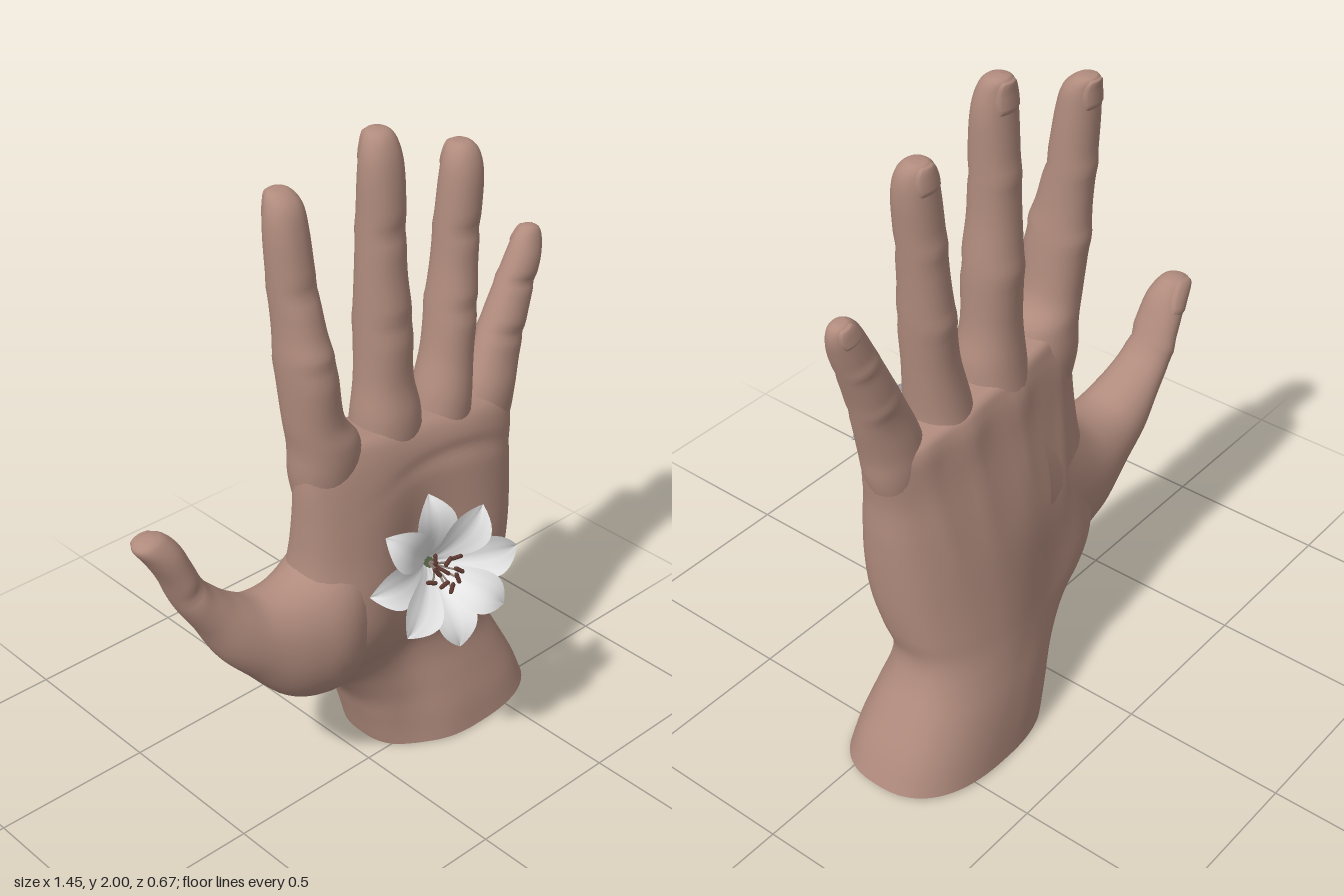
import * as THREE from 'three';

const mat = (name, color, side = THREE.FrontSide) => {
  const m = new THREE.MeshStandardMaterial({ color, side });
  m.name = name;
  return m;
};

// Grid surface from a function (u, v) -> Vector3; "wrap" closes it around v
function grid(nu, nv, fn, wrap = false) {
  const pos = [], idx = [], cols = wrap ? nv : nv + 1;
  for (let i = 0; i <= nu; i++)
    for (let j = 0; j < cols; j++) pos.push(...fn(i / nu, j / nv).toArray());
  for (let i = 0; i < nu; i++)
    for (let j = 0; j < nv; j++) {
      const a = i * cols + j, b = i * cols + ((j + 1) % cols), c = a + cols, d = b + cols;
      idx.push(a, c, b, b, c, d);
    }
  const g = new THREE.BufferGeometry();
  g.setAttribute('position', new THREE.Float32BufferAttribute(pos, 3));
  g.setIndex(idx);
  g.computeVertexNormals();
  return g;
}

// Rows are [ax, ay, bx, by, zFront, zBack]: an oval between edge points A and B
function limb(rows, { power = 0.95, creases = [] } = {}) {
  const curve = (f) => new THREE.CatmullRomCurve3(rows.map(f), false, 'catmullrom', 0.5);
  const edgeA = curve((r) => new THREE.Vector3(r[0], r[1], r[4]));
  const edgeB = curve((r) => new THREE.Vector3(r[2], r[3], r[5]));
  const bend = (x) => Math.sign(x) * Math.abs(x) ** power;
  return (t, v) => {
    const a = edgeA.getPoint(t), b = edgeB.getPoint(t), th = v * Math.PI * 2;
    const c = bend(Math.cos(th)), s = bend(Math.sin(th));
    let half = (a.z - b.z) / 2;
    const fold = creases.reduce((k, q) => k + Math.exp(-(((t - q) / 0.018) ** 2)), 0);
    half += s > 0 ? -0.008 * fold : 0.005 * fold;
    return new THREE.Vector3(
      (a.x + b.x) / 2 + (c * (b.x - a.x)) / 2,
      (a.y + b.y) / 2 + (c * (b.y - a.y)) / 2,
      (a.z + b.z) / 2 + s * half);
  };
}

const bump = (x, y, cx, cy, rx, ry) => Math.exp(-(((x - cx) / rx) ** 2) - ((y - cy) / ry) ** 2);

const palmRows = [
  [0.07, 0, 0.69, 0.01, 0.115, -0.325], [0.04, 0.1, 0.655, 0.1, 0.1, -0.32],
  [0, 0.2, 0.605, 0.2, 0.075, -0.31], [-0.08, 0.3, 0.555, 0.3, 0.052, -0.295],
  [-0.17, 0.38, 0.535, 0.38, 0.055, -0.285], [-0.23, 0.46, 0.55, 0.46, 0.09, -0.275],
  [-0.25, 0.56, 0.565, 0.56, 0.118, -0.26], [-0.24, 0.68, 0.575, 0.68, 0.122, -0.24],
  [-0.22, 0.8, 0.58, 0.8, 0.11, -0.215], [-0.215, 0.92, 0.58, 0.91, 0.095, -0.19],
  [-0.215, 1.03, 0.59, 1.0, 0.075, -0.17], [-0.21, 1.11, 0.59, 1.06, 0.052, -0.155],
  [-0.2, 1.16, 0.56, 1.085, 0.022, -0.138], [-0.13, 1.165, 0.49, 1.1, -0.03, -0.095],
  [0.18, 1.135, 0.181, 1.135, -0.06, -0.061],
];

const digits = {
  thumb: [
    [0.05, 0.4, 0.05, 0.98, 0.03, -0.225], [-0.12, 0.335, -0.11, 0.87, 0.1, -0.213],
    [-0.285, 0.375, -0.235, 0.77, 0.08, -0.2], [-0.41, 0.5, -0.35, 0.745, 0.04, -0.19],
    [-0.485, 0.585, -0.43, 0.78, 0.01, -0.19], [-0.54, 0.69, -0.485, 0.825, -0.02, -0.19],
    [-0.6, 0.79, -0.525, 0.87, -0.04, -0.19], [-0.645, 0.9, -0.56, 0.945, -0.05, -0.19],
    [-0.69, 0.98, -0.59, 1.01, -0.06, -0.182], [-0.722, 1.03, -0.625, 1.05, -0.08, -0.17],
    [-0.705, 1.052, -0.655, 1.06, -0.1, -0.15], [-0.68, 1.06, -0.679, 1.06, -0.125, -0.126],
  ],
  indexFinger: [
    [-0.16, 0.82, -0.06, 0.82, -0.02, -0.11], [-0.212, 1.04, -0.01, 1.04, 0.03, -0.155],
    [-0.22, 1.16, -0.015, 1.16, 0.042, -0.155], [-0.232, 1.25, -0.07, 1.25, 0.03, -0.15],
    [-0.245, 1.42, -0.095, 1.42, 0.03, -0.16], [-0.243, 1.52, -0.11, 1.52, 0, -0.16],
    [-0.248, 1.66, -0.12, 1.66, -0.03, -0.165], [-0.25, 1.79, -0.127, 1.79, -0.05, -0.168],
    [-0.24, 1.86, -0.135, 1.86, -0.07, -0.168], [-0.22, 1.895, -0.155, 1.895, -0.105, -0.167],
    [-0.188, 1.902, -0.187, 1.902, -0.142, -0.143],
  ],
  middleFinger: [
    [0.05, 0.82, 0.17, 0.82, -0.02, -0.19], [0.015, 1.04, 0.22, 1.04, 0.03, -0.17],
    [0.015, 1.16, 0.222, 1.16, 0.038, -0.155], [0.03, 1.28, 0.198, 1.28, 0.02, -0.145],
    [0.035, 1.45, 0.193, 1.45, 0.02, -0.15], [0.038, 1.6, 0.178, 1.6, 0.005, -0.14],
    [0.042, 1.75, 0.175, 1.75, 0, -0.135], [0.044, 1.88, 0.175, 1.88, -0.01, -0.128],
    [0.055, 1.95, 0.165, 1.95, -0.025, -0.124], [0.077, 1.99, 0.147, 1.99, -0.05, -0.12],
    [0.111, 2, 0.112, 2, -0.092, -0.093],
  ],
  ringFinger: [
    [0.24, 0.82, 0.36, 0.82, -0.02, -0.18], [0.23, 1.02, 0.415, 1.01, 0.03, -0.16],
    [0.247, 1.15, 0.417, 1.12, 0.04, -0.145], [0.283, 1.28, 0.428, 1.26, 0.025, -0.135],
    [0.305, 1.42, 0.443, 1.41, 0.02, -0.14], [0.323, 1.54, 0.45, 1.53, 0.005, -0.135],
    [0.333, 1.67, 0.46, 1.66, 0, -0.13], [0.345, 1.79, 0.47, 1.78, -0.005, -0.125],
    [0.36, 1.85, 0.465, 1.845, -0.02, -0.12], [0.383, 1.88, 0.445, 1.878, -0.045, -0.11],
    [0.414, 1.885, 0.415, 1.885, -0.08, -0.081],
  ],
  littleFinger: [
    [0.4, 0.8, 0.52, 0.78, -0.02, -0.11], [0.41, 1.02, 0.587, 0.97, 0.022, -0.13],
    [0.43, 1.12, 0.605, 1.08, 0.03, -0.125], [0.475, 1.22, 0.63, 1.18, 0.015, -0.115],
    [0.525, 1.32, 0.655, 1.28, 0.01, -0.115], [0.565, 1.4, 0.685, 1.37, 0, -0.108],
    [0.605, 1.48, 0.712, 1.45, -0.005, -0.102], [0.635, 1.53, 0.725, 1.505, -0.02, -0.095],
    [0.665, 1.555, 0.72, 1.54, -0.035, -0.085], [0.698, 1.556, 0.699, 1.556, -0.06, -0.061],
  ],
};

export function createModel() {
  const skin = mat('skin', 0xb08b7d, THREE.DoubleSide);
  const white = mat('petal white', 0xe6e6e6, THREE.DoubleSide);
  const green = mat('sepal green', 0x5a6649, THREE.DoubleSide);
  const brown = mat('anther brown', 0x5e3a32);
  const pale = mat('filament grey', 0x8f8177);
  const model = new THREE.Group();
  const add = (parent, name, geometry, material) => {
    const m = new THREE.Mesh(geometry, material);
    m.name = name;
    parent.add(m);
    return m;
  };

  // Palm and open wrist, with a hollow, a crease, tendons and knuckles
  const hand = new THREE.Group();
  hand.name = 'hand';
  model.add(hand);
  const palm = limb(palmRows, { power: 0.8 });
  add(hand, 'palmAndWrist', grid(84, 96, (t, v) => {
    const p = palm(t, v), s = Math.sin(v * Math.PI * 2), { x, y } = p;
    if (s > 0) {
      const line = y - (1.02 - 0.75 * (x - 0.2) ** 2);
      p.z -= s * (0.058 * bump(x, y, 0.14, 0.66, 0.13, 0.3)
        + 0.03 * bump(x, y, 0.12, 0.05, 0.1, 0.2)
        + 0.01 * Math.exp(-((line / 0.025) ** 2)) * bump(x, 0, 0.35, 0, 0.25, 1)
        - 0.018 * bump(x, y, 0.43, 0.6, 0.12, 0.22));
    } else {
      p.z -= s * 0.042 * bump(x, y, 0.03, 0.4, 0.17, 0.25);
      for (const k of [-0.1, 0.12, 0.32, 0.49]) {
        const tendon = 0.25 + (k - 0.25) * (0.4 + 0.55 * y);
        p.z += s * (0.01 * bump(x, y, k, 1.06, 0.06, 0.07) + 0.006 * bump(x, y, tendon, 0.88, 0.03, 0.2));
      }
    }
    return p;
  }, true), skin);

  // Thumb and fingers, each with a nail on the back
  for (const [name, rows] of Object.entries(digits)) {
    const thumb = name === 'thumb';
    const f = limb(rows, { creases: thumb ? [0.58] : [0.4, 0.58] });
    add(hand, name, grid(64, 32, f, true), skin);
    const t0 = thumb ? 0.68 : 0.72, t1 = thumb ? 0.89 : 0.9;
    add(hand, name + 'Nail', grid(20, 20, (u, v) => {
      const rim = Math.min(1, 10 * v, 10 * (1 - v), 10 * u, 10 * (1 - u));
      const round = 1 - 0.35 * Math.abs(2 * u - 1) ** 3;
      const p = f(t0 + u * (t1 - t0), 0.75 + (v - 0.5) * 0.28 * round);
      p.z -= 0.007 * rim - 0.002;
      return p;
    }), skin);
  }

  // Flower, tilted up and to the side; its local +z is the axis
  const flower = new THREE.Group();
  flower.name = 'flower';
  flower.position.set(0.105, 0.75, 0.135);
  flower.quaternion.setFromUnitVectors(new THREE.Vector3(0, 0, 1), new THREE.Vector3(-0.34, 0.33, 1).normalize());
  model.add(flower);

  // Eight pointed petals in two alternating layers
  for (let i = 0; i < 8; i++) {
    const inner = i % 2;
    const petal = add(flower, 'petal', grid(16, 8, (u, v) => {
      const s = v * 2 - 1;
      const w = 0.012 * (1 - u) + 0.057 * Math.sin(Math.PI * u ** 1.3) ** 0.9;
      const z = 0.135 * Math.sin(u * 1.75) ** 0.8 - 0.02 * u ** 4;
      return new THREE.Vector3(0.012 + u * (inner ? 0.205 : 0.222), s * w,
        z + (inner ? 0.006 : 0) + 0.018 * s * s * Math.sin(Math.PI * u) - 0.004 * Math.exp(-s * s * 30));
    }), white);
    petal.rotation.z = (i * Math.PI) / 4 + 0.04;
  }

  // Stamens and pistil
  for (let i = 0; i < 9; i++) {
    const stamen = new THREE.Group();
    stamen.name = 'stamen';
    stamen.rotation.z = (i * Math.PI * 2) / 9;
    flower.add(stamen);
    const r = i % 2 ? 0.052 : 0.034, h = i % 2 ? 0.125 : 0.138;
    const path = new THREE.QuadraticBezierCurve3(new THREE.Vector3(0.005, 0, 0.02),
      new THREE.Vector3(0.012, 0, 0.09), new THREE.Vector3(r, 0, h));
    add(stamen, 'filament', new THREE.TubeGeometry(path, 8, 0.003, 6), pale);
    const anther = add(stamen, 'anther', new THREE.CapsuleGeometry(0.0065, 0.022, 4, 8), brown);
    anther.position.set(r, 0, h);
    anther.rotation.z = 0.9;
  }
  const pistil = add(flower, 'pistil', new THREE.CylinderGeometry(0.006, 0.004, 0.13, 8), brown);
  pistil.rotation.x = Math.PI / 2;
  pistil.position.z = 0.075;

  // Stem and broad sepals behind the petals
  const stem = add(flower, 'stem', new THREE.CylinderGeometry(0.018, 0.012, 0.1, 12), green);
  stem.rotation.x = Math.PI / 2;
  stem.position.z = -0.04;
  for (let i = 0; i < 6; i++) {
    const sepal = add(flower, 'sepal', grid(10, 6, (u, v) => {
      const s = v * 2 - 1;
      return new THREE.Vector3(0.008 + 0.072 * u, s * 0.033 * Math.sin(Math.PI * u ** 0.85),
        -0.028 + 0.03 * Math.sin(u * 2.4) + 0.012 * s * s - 0.012 * u);
    }), green);
    sepal.rotation.z = (i * Math.PI) / 3;
  }
  return model;
}
